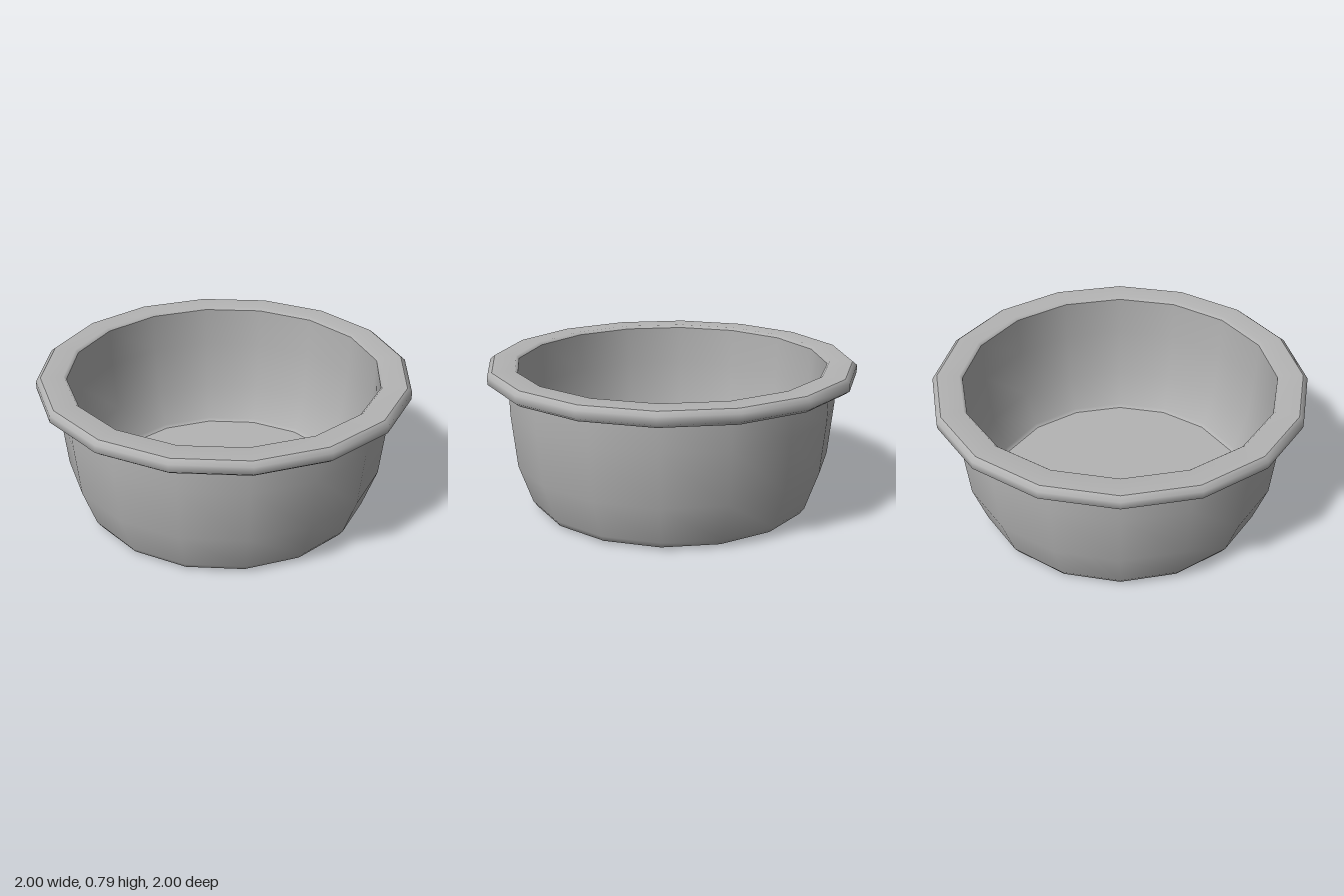
import * as THREE from 'three';

const SIDES = 16;

export function createModel() {
  const group = new THREE.Group();
  group.name = 'bowl';
  const grey = new THREE.MeshStandardMaterial({ color: 0xb4b4b4 });
  grey.name = 'grey';

  // Each part is a 16-sided turned profile of [radius, height] points
  const turn = (name, profile) => {
    const points = profile.map(([r, y]) => new THREE.Vector2(r, y));
    const mesh = new THREE.Mesh(new THREE.LatheGeometry(points, SIDES), grey);
    mesh.name = name;
    group.add(mesh);
  };

  // Flat underside
  turn('base', [[0, 0], [0.72, 0]]);

  // Rounded foot and bulging outer wall
  turn('outerWall', [
    [0.72, 0], [0.765, 0.015], [0.79, 0.05], [0.862, 0.26],
    [0.89, 0.55], [0.892, 0.695],
  ]);

  // Small fillet and flat underside of the rim
  turn('rimUnderside', [[0.892, 0.69], [0.915, 0.706], [0.975, 0.706]]);

  // Rolled outer edge of the rim
  turn('rimEdge', [[0.975, 0.706], [1, 0.725], [1, 0.765], [0.975, 0.785]]);

  // Top of the rim, rounding over into the bowl
  turn('rimTop', [[0.975, 0.785], [0.855, 0.785], [0.84, 0.77]]);

  // Inner wall, running down to the floor
  turn('innerWall', [
    [0.84, 0.77], [0.835, 0.55], [0.806, 0.27], [0.735, 0.075], [0.715, 0.06],
  ]);

  // Inside floor
  turn('floor', [[0.715, 0.06], [0, 0.06]]);

  return group;
}
